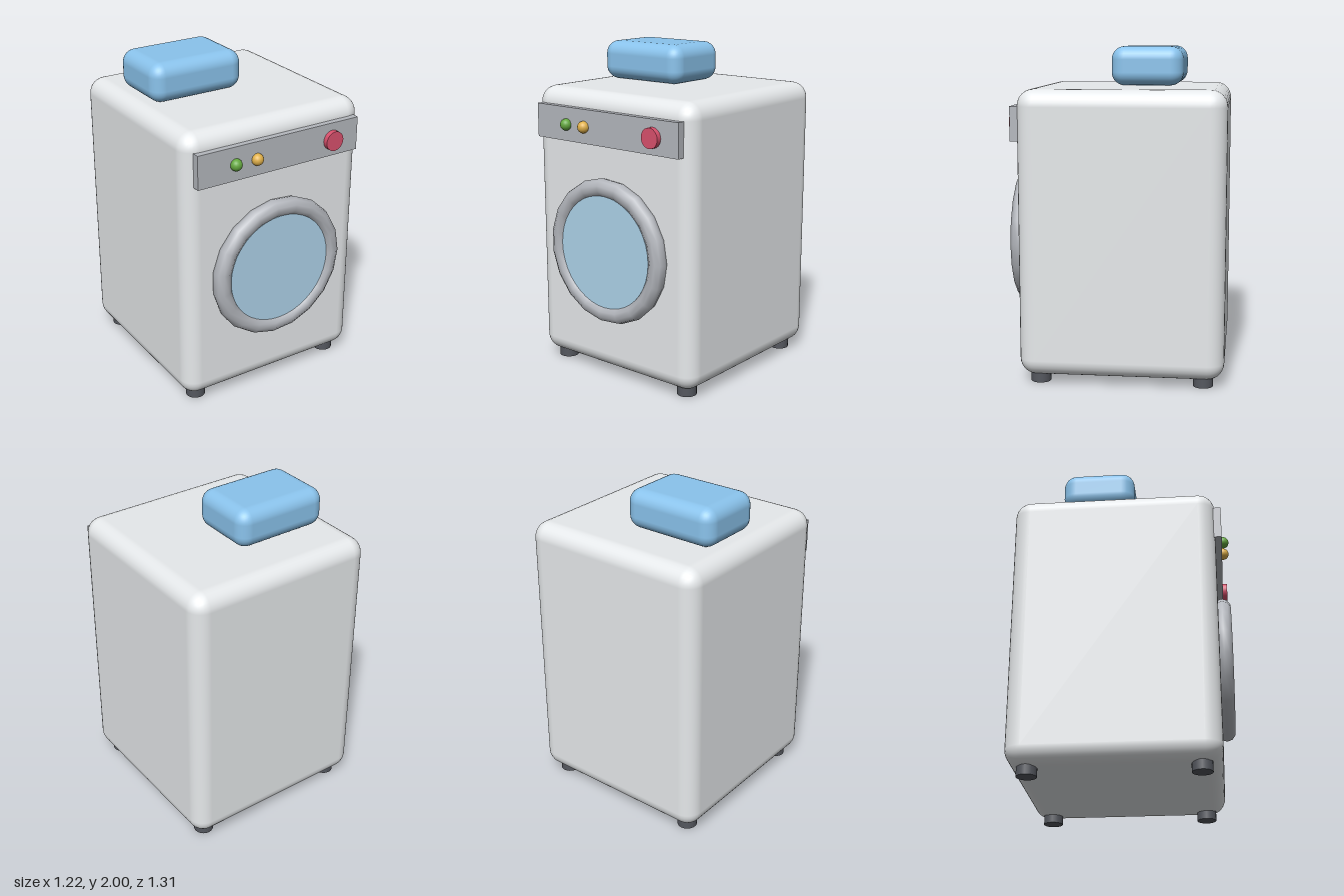
import * as THREE from 'three';
import { RoundedBoxGeometry } from 'three/addons/geometries/RoundedBoxGeometry.js';

export function createModel() {
  const model = new THREE.Group();
  model.name = 'washingMachine';

  const material = (color) => new THREE.MeshStandardMaterial({ color });
  const white = material(0xe6e9eb);
  const panelGrey = material(0xb4b7bd);
  const ringGrey = material(0xb4b7bd);
  const glassBlue = material(0xaed3ea);
  const boxBlue = material(0x8ac3ec);
  const dark = material(0x55585f);

  const add = (name, geometry, mat, x, y, z) => {
    const mesh = new THREE.Mesh(geometry, mat);
    mesh.name = name;
    mesh.position.set(x, y, z);
    model.add(mesh);
    return mesh;
  };
  // Cylinder whose axis points to the front
  const disc = (radius, depth, sides) =>
    new THREE.CylinderGeometry(radius, radius, depth, sides).rotateX(Math.PI / 2);

  // Cabinet
  add('cabinet', new RoundedBoxGeometry(1.22, 1.71, 1.225, 4, 0.1), white, 0, 0.905, -0.0425);

  // Feet
  for (const x of [-0.49, 0.49]) {
    for (const z of [-0.53, 0.45]) {
      add('foot', new THREE.CylinderGeometry(0.06, 0.06, 0.06, 20), dark, x, 0.03, z);
    }
  }

  // Door: faceted ring around a flat window
  add('doorRing', new THREE.TorusGeometry(0.39, 0.055, 10, 19), ringGrey, 0, 0.82, 0.595);
  add('doorWindow', disc(0.345, 0.07, 40), glassBlue, 0, 0.82, 0.595);

  // Control panel with two lamps and a knob
  add('controlPanel', new THREE.BoxGeometry(1.1, 0.205, 0.05), panelGrey, 0, 1.5575, 0.583);
  const lamps = [['greenLamp', -0.305, 0x64a83f], ['yellowLamp', -0.163, 0xe0b04a]];
  for (const [name, x, color] of lamps) {
    add(name, new THREE.SphereGeometry(0.036, 20, 14), material(color), x, 1.555, 0.615);
  }
  add('knob', disc(0.06, 0.05, 24), material(0xd8506c), 0.365, 1.555, 0.614);

  // Rounded box resting on the top
  add('topBox', new RoundedBoxGeometry(0.61, 0.24, 0.445, 4, 0.08), boxBlue, -0.205, 1.88, -0.1475);

  return model;
}
